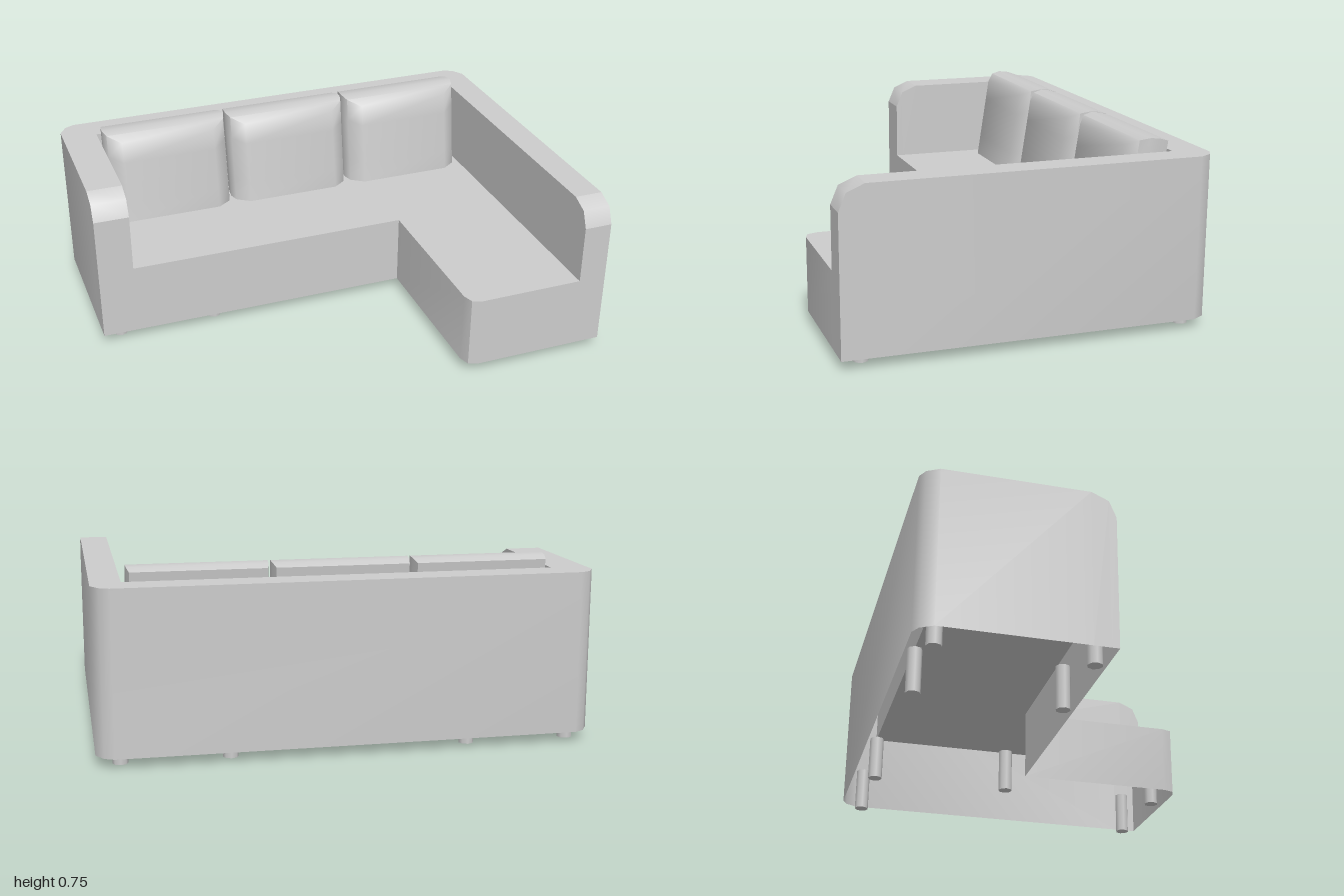
import * as THREE from 'three';
import { toCreasedNormals, mergeGeometries } from 'three/addons/utils/BufferGeometryUtils.js';

const CREASE = 0.85;
const BASE = 0.04, SEAT = 0.35, TOP = 0.7;

// Quads between two rows of [x, y, z] points, lower row first
function strip(a, b) {
  const v = [];
  for (let i = 0; i < a.length - 1; i++) {
    v.push(...a[i], ...a[i + 1], ...b[i + 1], ...a[i], ...b[i + 1], ...b[i]);
  }
  const g = new THREE.BufferGeometry();
  g.setAttribute('position', new THREE.Float32BufferAttribute(v, 3));
  return toCreasedNormals(g, CREASE);
}

// Upright wall along [x, z, topY] points, facing the right of the path
function wall(path, low) {
  return strip(path.map(([x, z]) => [x, low, z]), path.map(([x, z, y]) => [x, y, z]));
}

// Level upward-facing panel from [x, z] points
function panel(points, y) {
  const shape = new THREE.Shape(points.map(([x, z]) => new THREE.Vector2(x, -z)));
  return new THREE.ShapeGeometry(shape).rotateX(-Math.PI / 2).translate(0, y, 0);
}

// Rounded front end of an arm, from front to top, as [x, z, topY]
const armEnd = (x, front) => [[x, front, 0.6], [x, front - 0.03, 0.67], [x, front - 0.1, TOP]];

export function createModel() {
  const fabric = new THREE.MeshStandardMaterial({ color: 0xcccccc, side: THREE.DoubleSide });
  fabric.name = 'light grey fabric';
  const model = new THREE.Group();
  model.name = 'cornerSofa';

  const add = (name, geometry) => {
    const mesh = new THREE.Mesh(geometry, fabric);
    mesh.name = name;
    model.add(mesh);
    return mesh;
  };

  const shortFront = 0.01, longFront = 0.75;
  const inL = 0.88, inR = -0.85, inBack = -0.615, chaise = 0.375;

  // Outer shell with rounded back corners, open underneath
  const back = [
    [1, -0.68], [0.97, -0.73], [0.93, -0.75],
    [-0.93, -0.75], [-0.97, -0.73], [-1, -0.68],
  ];
  add('outerShell', wall([
    ...armEnd(1, longFront),
    ...back.map(([x, z]) => [x, z, TOP]),
    ...armEnd(-1, shortFront).reverse(),
  ], BASE));

  // Inner faces of the arms and backrest
  const inner = [
    ...armEnd(inR, shortFront),
    [inR, inBack, TOP], [inL, inBack, TOP],
    ...armEnd(inL, longFront).reverse(),
  ];
  add('innerFaces', wall(inner, SEAT));

  // Flat top of the arms and backrest
  add('topRim', panel([
    [1, longFront - 0.1], ...back, [-1, shortFront - 0.1],
    [inR, shortFront - 0.1], [inR, inBack], [inL, inBack], [inL, longFront - 0.1],
  ], TOP));

  // Arm fronts and their curved upper edge
  for (const [name, x0, x1, front] of [
    ['rightArm', -1, inR, shortFront], ['leftArm', inL, 1, longFront],
  ]) {
    add(name + 'Front', wall([[x0, front, 0.6], [x1, front, 0.6]], BASE));
    const row = (x) => armEnd(x, front).map(([px, z, y]) => [px, y, z]);
    add(name + 'Curve', strip(row(x1), row(x0)));
  }

  // Seat top and the front faces below it
  const seatFront = [
    [inR, shortFront], [chaise, shortFront], [chaise, 0.69],
    [0.39, 0.735], [0.43, longFront], [inL, longFront],
  ];
  add('seat', panel([...seatFront, [inL, inBack], [inR, inBack]], SEAT));
  add('seatFront', wall(seatFront.map(([x, z]) => [x, z, SEAT]), BASE));

  // Back cushions: boxes with rounded sides, a domed top and a backward lean
  const halfWidths = [0.268, 0.277, 0.28, 0.268, 0.21];
  const height = 0.4, depth = 0.165;
  const cushion = new THREE.BoxGeometry(2, height, depth, 1, 4, 4);
  const p = cushion.attributes.position;
  for (let i = 0; i < p.count; i++) {
    const t = p.getZ(i) / (depth / 2);
    const up = p.getY(i) / height + 0.5;
    const drop = t > 0 ? 0.035 : 0.018;
    p.setXYZ(
      i,
      p.getX(i) * halfWidths[Math.round((t + 1) * 2)],
      SEAT + up * (height + 0.003 - drop * t * t),
      p.getZ(i) - 0.475 - 0.055 * up,
    );
  }
  const cushionGeometry = toCreasedNormals(cushion, 1.05);
  [-0.56, 0.01, 0.58].forEach((x, i) => {
    add('backCushion' + (i + 1), cushionGeometry).position.x = x;
  });

  // Legs, reaching up inside the shell
  const xs = [-0.915, -0.49, 0.475, 0.905];
  const spots = [
    ...xs.map((x) => [x, -0.665]),
    ...xs.slice(0, 3).map((x) => [x, -0.06]),
    ...xs.slice(2).map((x) => [x, 0.655]),
  ];
  add('legs', mergeGeometries(spots.map(([x, z]) =>
    new THREE.CylinderGeometry(0.031, 0.031, 0.19, 8).translate(x, 0.095, z))));

  return model;
}
